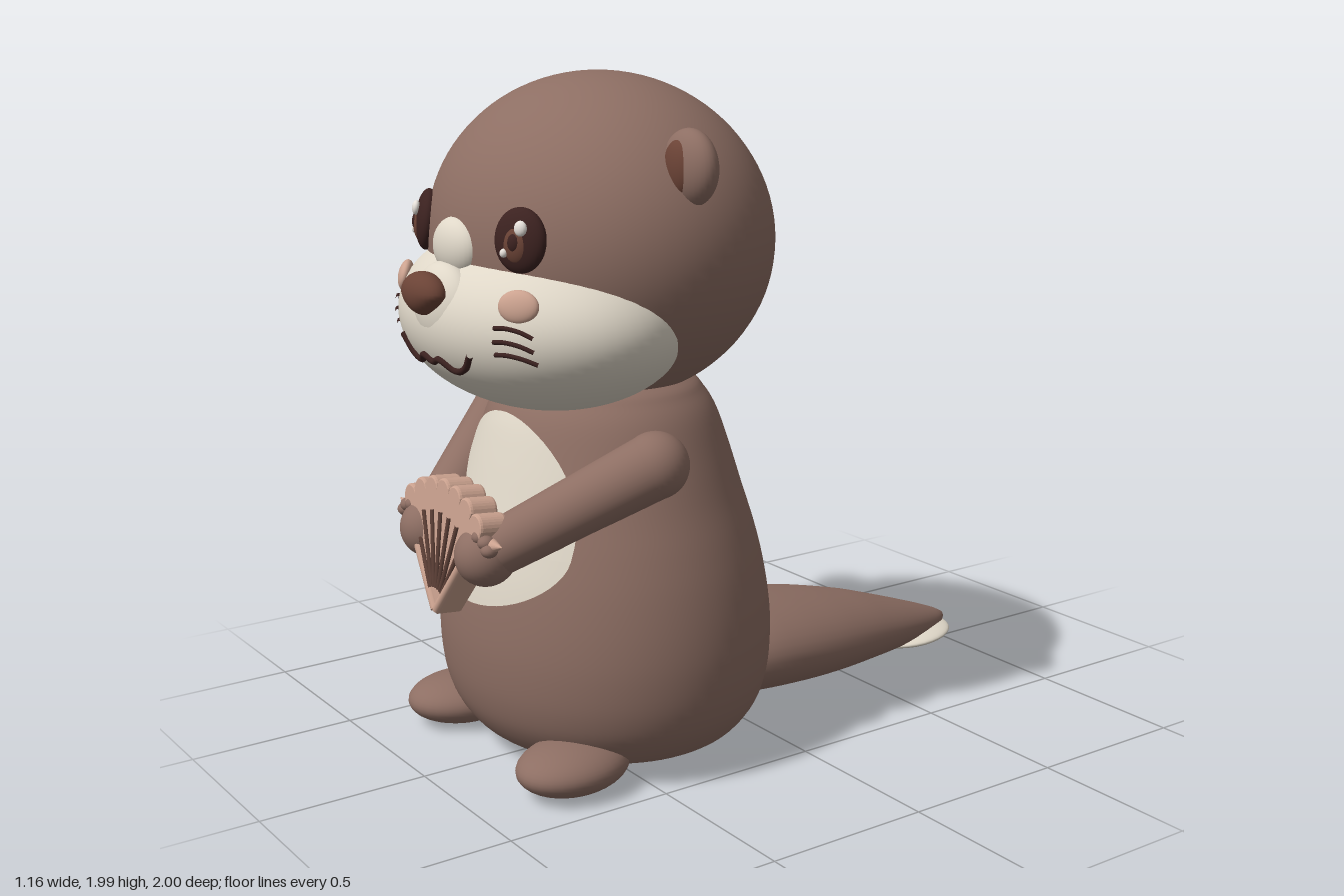
import * as THREE from 'three';
import { mergeVertices } from 'three/addons/utils/BufferGeometryUtils.js';

const mat = (name, color, side = THREE.FrontSide) => {
  const m = new THREE.MeshStandardMaterial({ color, side });
  m.name = name;
  return m;
};

export function createModel() {
  const fur = mat('brownFur', 0x8d6e63);
  const furOpen = fur;
  const cream = mat('cream', 0xdfd7c8);
  const russet = mat('russet', 0x6b4336);
  const dark = mat('darkBrown', 0x3c2220);
  const pink = mat('blush', 0xcba28f);
  const rib = mat('shellRib', 0x5d4037);
  const white = mat('eyeHighlight', 0xf5efe8);

  const model = new THREE.Group();
  model.name = 'otter';

  const add = (name, geo, material, pos = [0, 0, 0], rot = [0, 0, 0], parent = model) => {
    const m = new THREE.Mesh(geo, material);
    m.name = name;
    m.position.set(...pos);
    m.rotation.set(rot[0], rot[1], rot[2], 'YXZ');
    parent.add(m);
    return m;
  };
  const ball = (r, seg = 32) => new THREE.SphereGeometry(1, seg, Math.ceil(seg * 0.75)).scale(...r);
  const tube = (pts, r, seg = 24) => new THREE.TubeGeometry(
    new THREE.CatmullRomCurve3(pts.map(p => new THREE.Vector3(...p))), seg, r, 8);

  // Body: oval lathe
  const bodyZ = 0.383, bodyDepth = 0.867;
  const profile = new THREE.SplineCurve([
    [0.001, 0.03], [0.3, 0.032], [0.42, 0.065], [0.495, 0.14], [0.532, 0.23], [0.545, 0.34],
    [0.54, 0.45], [0.52, 0.57], [0.49, 0.68], [0.452, 0.79], [0.412, 0.91], [0.37, 1.02],
    [0.33, 1.08], [0.286, 1.12], [0.15, 1.18], [0.001, 1.2],
  ].map(p => new THREE.Vector2(...p))).getPoints(75);
  add('body', new THREE.LatheGeometry(profile, 72).scale(1, 1, bodyDepth), fur, [0, 0, bodyZ]);

  const bodyRadius = y => {
    const i = profile.findIndex((p, k) => k > 15 && p.y >= y);
    const a = profile[i - 1], b = profile[i];
    return a.x + (b.x - a.x) * (y - a.y) / (b.y - a.y);
  };

  // Belly patch: egg-shaped disc laid on the body
  const belly = new THREE.RingGeometry(0, 1, 56, 16);
  const bp = belly.attributes.position;
  for (let i = 0; i < bp.count; i++) {
    const x = bp.getX(i) * 0.335, v = bp.getY(i);
    const y = 0.68 + v * (v > 0 ? 0.36 : 0.17);
    const r = bodyRadius(y);
    bp.setXYZ(i, x, y, bodyZ + bodyDepth * Math.sqrt(Math.max(0, r * r - x * x)) + 0.007);
  }
  belly.computeVertexNormals();
  add('bellyPatch', belly, cream);

  // Head, cheeks and muzzle
  add('head', ball([0.545, 0.47, 0.48], 64), fur, [0, 1.52, 0.38]);
  const face = { c: [0, 1.315, 0.58], r: [0.515, 0.265, 0.37] };
  const muzzle = { c: [0, 1.36, 0.88], r: [0.14, 0.13, 0.075] };
  add('lowerFace', ball(face.r, 64), cream, face.c);
  add('muzzle', ball(muzzle.r), cream, muzzle.c);
  add('noseBridge', ball([0.105, 0.085, 0.055]), cream, [0, 1.525, 0.84]);
  const onFace = (x, y) => {
    const zOf = e => {
      const k = 1 - (x / e.r[0]) ** 2 - ((y - e.c[1]) / e.r[1]) ** 2;
      return k > 0 ? e.c[2] + e.r[2] * Math.sqrt(k) : 0;
    };
    return [x, y, Math.max(zOf(face), zOf(muzzle)) + 0.003];
  };

  // Nose: ball narrowed toward the bottom
  const nose = ball([0.095, 0.06, 0.052]);
  const np = nose.attributes.position;
  for (let i = 0; i < np.count; i++) {
    const y = np.getY(i);
    np.setX(i, np.getX(i) * (y < 0 ? 1 + y * 6 : 1));
  }
  nose.computeVertexNormals();
  add('nose', nose, russet, [0, 1.407, 0.947]);

  // Mouth
  const half = [[0.195, 1.263], [0.15, 1.217], [0.1, 1.203], [0.045, 1.228]];
  const mouth = [...half.map(([x, y]) => [-x, y]), [0, 1.215], ...half.slice().reverse()];
  add('mouth', tube(mouth.map(p => onFace(...p)), 0.01, 64), dark);

  for (const s of [-1, 1]) {
    const side = s > 0 ? 'left' : 'right';

    // Ears
    add(side + 'Ear', ball([0.105, 0.105, 0.058]), fur, [s * 0.475, 1.755, 0.395]);
    add(side + 'InnerEar', ball([0.06, 0.078, 0.035]), russet, [s * 0.472, 1.755, 0.426]);

    // Eyes
    const eye = new THREE.Group();
    eye.name = side + 'Eye';
    eye.position.set(s * 0.265, 1.57, 0.795);
    eye.rotation.set(-0.1, s * 0.45, 0, 'YXZ');
    model.add(eye);
    add('eyeball', ball([0.08, 0.088, 0.035]), dark, [0, 0, 0], [0, 0, 0], eye);
    add('iris', ball([0.045, 0.058, 0.028]), russet, [0, -0.008, 0.012], [0, 0, 0], eye);
    add('pupil', ball([0.025, 0.034, 0.025]), dark, [0, -0.006, 0.019], [0, 0, 0], eye);
    add('largeHighlight', ball([0.019, 0.021, 0.012], 16), white, [0.022, 0.033, 0.035], [0, 0, 0], eye);
    add('smallHighlight', ball([0.011, 0.012, 0.01], 16), white, [-0.031, -0.035, 0.032], [0, 0, 0], eye);

    // Blush and whiskers
    add(side + 'Blush', ball([0.06, 0.045, 0.022]), pink, [s * 0.325, 1.405, 0.84], [-0.2, s * 0.55, 0]);
    for (const y of [1.347, 1.31, 1.275]) {
      const pts = [[0.28, y], [0.31, y + 0.002], [0.35, y - 0.005], [0.382, y - 0.02]];
      add(side + 'Whisker', tube(pts.map(([x, h]) => onFace(s * x, h)), 0.0065), dark);
    }

    // Arms: tapered limb with rounded shoulder and paw
    const a = new THREE.Vector3(s * 0.42, 0.94, 0.475), b = new THREE.Vector3(s * 0.165, 0.69, 0.87);
    const dir = b.clone().sub(a);
    const limb = add(side + 'Arm', new THREE.CylinderGeometry(0.076, 0.094, dir.length(), 32, 1, true), furOpen,
      a.clone().add(b).multiplyScalar(0.5).toArray());
    limb.quaternion.setFromUnitVectors(new THREE.Vector3(0, 1, 0), dir.clone().normalize());
    add(side + 'Shoulder', ball([0.095, 0.095, 0.095]), fur, a.toArray());
    add(side + 'Paw', ball([0.088, 0.088, 0.088]), fur, b.toArray());

    // Fingers and small claw
    for (const [x, y] of [[0.2, 0.757], [0.232, 0.748], [0.25, 0.73]])
      add(side + 'Finger', ball([0.024, 0.02, 0.024], 16), fur, [s * x, y, 0.905]);
    add(side + 'Claw', new THREE.ConeGeometry(0.022, 0.06, 16), pink, [s * 0.275, 0.745, 0.895], [0, 0, -s * 1.4]);

    // Feet
    add(side + 'Foot', ball([0.14, 0.075, 0.175]), fur, [s * 0.32, 0.08, 0.695], [0, s * 0.15, 0]);
  }

  // Scallop shell: fan with a lobed rim, raised ribs and edge bars
  const shell = new THREE.Group();
  shell.name = 'shell';
  shell.position.set(0, 0.49, 0.905);
  shell.rotation.x = -0.1;
  model.add(shell);
  const spread = 0.68, lobes = 7;
  const fan = [new THREE.Vector2(0, 0)];
  for (let i = 0; i <= 84; i++) {
    const t = i / 84, ang = spread * (1 - 2 * t);
    const r = 0.345 + 0.035 * Math.sqrt(Math.abs(Math.sin(t * lobes * Math.PI)));
    fan.push(new THREE.Vector2(Math.sin(ang) * r, Math.cos(ang) * r));
  }
  add('fan', new THREE.ExtrudeGeometry(new THREE.Shape(fan), {
    depth: 0.07, bevelEnabled: true, bevelSize: 0.006, bevelThickness: 0.008, bevelSegments: 2,
  }), pink, [0, 0, -0.035], [0, 0, 0], shell);
  for (let i = 0; i < lobes; i++) {
    const ang = (i / (lobes - 1) - 0.5) * 1.05, sx = Math.sin(ang), cy = Math.cos(ang);
    add('rib', tube([[sx * 0.07, cy * 0.07, 0.043], [sx * 0.29, cy * 0.29, 0.043]], 0.008, 2),
      rib, [0, 0, 0], [0, 0, 0], shell);
  }
  for (const s of [-1, 1])
    add('edgeBar', new THREE.CylinderGeometry(0.014, 0.014, 0.2, 12), pink,
      [s * 0.065, 0.085, 0.04], [0, 0, -s * 0.66], shell);

  // Tail: cross-sections along z, tapering to the tip
  const stations = [ // z, half width, bottom, top
    [0.12, 0.25, 0.06, 0.33], [-0.06, 0.274, 0.042, 0.345], [-0.22, 0.265, 0.03, 0.328],
    [-0.4, 0.232, 0.022, 0.295], [-0.58, 0.183, 0.022, 0.25], [-0.74, 0.133, 0.027, 0.197],
    [-0.88, 0.08, 0.038, 0.147], [-0.96, 0.042, 0.052, 0.115], [-0.995, 0.012, 0.073, 0.095],
    [-1, 0.001, 0.083, 0.085],
  ];
  const plan = new THREE.CatmullRomCurve3(stations.map(q => new THREE.Vector3(q[1], 0, q[0])));
  const elevation = new THREE.CatmullRomCurve3(stations.map(q => new THREE.Vector3(q[2], q[3], 0)));
  let tail = new THREE.CylinderGeometry(1, 1, 1, 40, 36, true).rotateX(-Math.PI / 2);
  const tp = tail.attributes.position;
  for (let i = 0; i < tp.count; i++) {
    const t = THREE.MathUtils.clamp(0.5 - tp.getZ(i), 0, 1);
    const p = plan.getPoint(t), e = elevation.getPoint(t);
    tp.setXYZ(i, tp.getX(i) * p.x, (e.x + e.y) / 2 + tp.getY(i) * (e.y - e.x) / 2, p.z);
  }
  tail.deleteAttribute('uv');
  tail.deleteAttribute('normal');
  tail = mergeVertices(tail, 1e-5);
  tail.computeVertexNormals();
  add('tail', tail, fur);
  add('tailTipPatch', ball([0.135, 0.026, 0.158]), cream, [0, 0.058, -0.835], [0.07, 0, 0]);

  return model;
}
